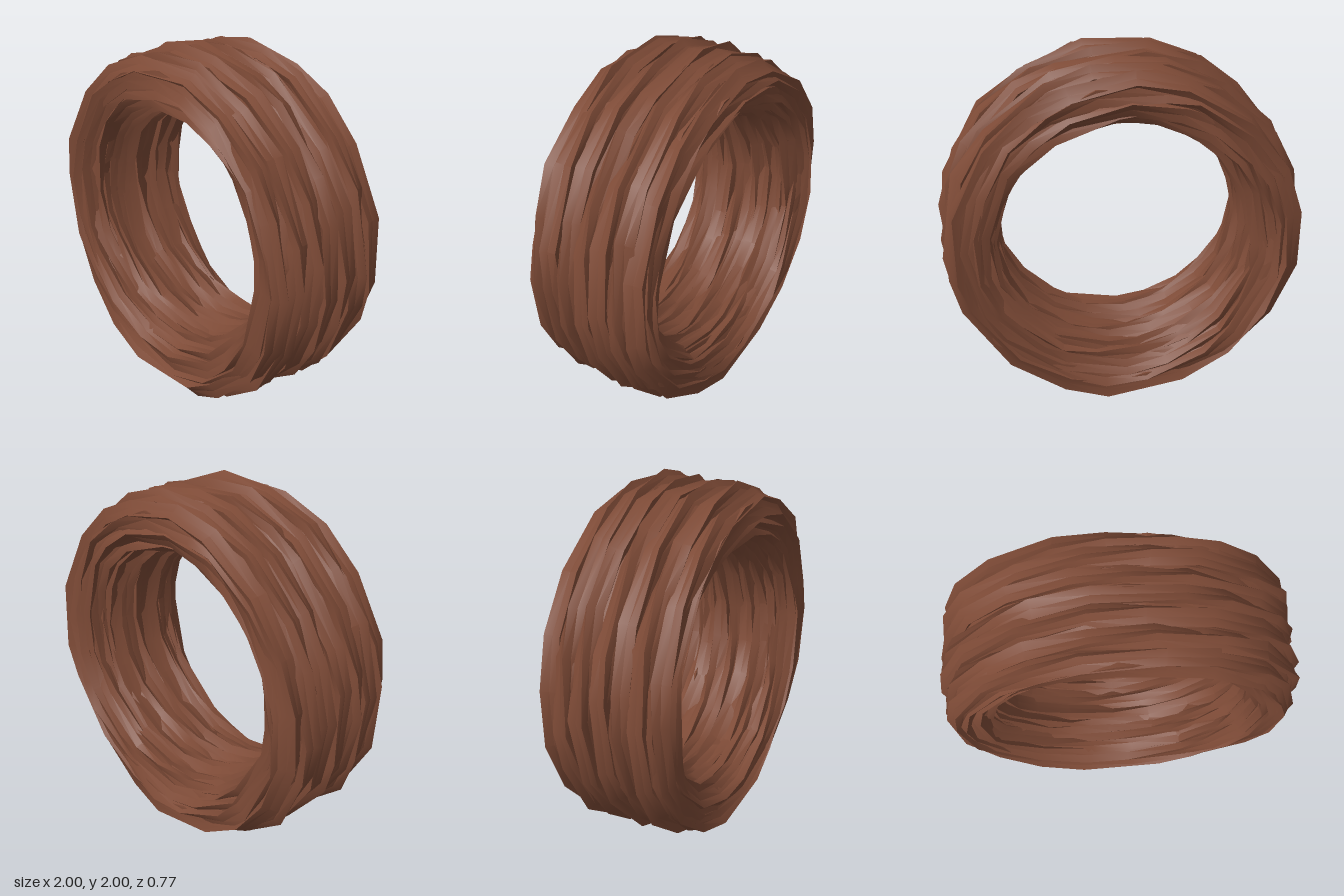
import * as THREE from 'three';
import { toCreasedNormals } from 'three/addons/utils/BufferGeometryUtils.js';

const SEGMENTS = 18;
const THICKNESS = 0.066;
// Cross-section of the rope: four ridges with shallow grooves between them
const PROFILE = [1, 0.6, 1, 0.6, 1, 0.6, 1, 0.6];
const SIDES = PROFILE.length;

// Small seeded random generator, -1 to 1
function seeded(seed) {
  let s = seed;
  return () => {
    s = (s * 16807) % 2147483647;
    return (s / 2147483647) * 2 - 1;
  };
}

// One closed, twisted, angular loop of rope around the z axis;
// oval widens it sideways and flattens it vertically
function ropeLoop(radius, z, oval, rnd) {
  const positions = [];
  const index = [];
  const start = rnd() * Math.PI;
  const roll = rnd() * Math.PI;
  const drift = rnd() * Math.PI;
  const quarterTurns = Math.round(rnd()) + 4;
  const rings = [];
  for (let i = 0; i < SEGMENTS; i++) {
    rings.push({
      a: start + ((i + rnd() * 0.25) / SEGMENTS) * Math.PI * 2,
      r: radius + rnd() * 0.01,
      z: z + Math.sin((i / SEGMENTS) * Math.PI * 2 + drift) * 0.006 + rnd() * 0.005,
      t: THICKNESS * (1 + rnd() * 0.1),
    });
  }
  for (let i = 0; i <= SEGMENTS; i++) {
    const c = rings[i % SEGMENTS];
    const twist = roll + (i / SEGMENTS) * quarterTurns * (Math.PI / 2);
    for (let j = 0; j < SIDES; j++) {
      const b = twist + (j / SIDES) * Math.PI * 2;
      const t = c.t * PROFILE[j];
      const r = c.r + Math.cos(b) * t;
      positions.push(Math.cos(c.a) * (r + oval), Math.sin(c.a) * (r - oval) + 1, c.z + Math.sin(b) * t);
    }
  }
  for (let i = 0; i < SEGMENTS; i++) {
    for (let j = 0; j < SIDES; j++) {
      const k = (j + 1) % SIDES;
      const a = i * SIDES + j, b = i * SIDES + k;
      const c = a + SIDES, d = b + SIDES;
      index.push(a, c, b, b, c, d);
    }
  }
  const geometry = new THREE.BufferGeometry();
  geometry.setAttribute('position', new THREE.Float32BufferAttribute(positions, 3));
  geometry.setIndex(index);
  return toCreasedNormals(geometry, 0.6);
}

export function createModel() {
  const model = new THREE.Group();
  model.name = 'ropeCoil';
  const rope = new THREE.MeshStandardMaterial({ color: 0x7d4a36, side: THREE.DoubleSide });
  rope.name = 'brown rope';
  const rnd = seeded(4711);

  // Layers of windings from outside to inside: [radius, distance from the middle]
  const layers = [
    { name: 'outerWinding', oval: 0, places: [[0.935, 0], [0.935, 0.105], [0.935, 0.21], [0.908, 0.305]] },
    { name: 'secondWinding', oval: 0, places: [[0.885, 0.05], [0.885, 0.155], [0.88, 0.255], [0.86, 0.312]] },
    { name: 'middleWinding', oval: 0.005, places: [[0.83, 0], [0.83, 0.1], [0.83, 0.2], [0.805, 0.3]] },
    { name: 'innerWinding', oval: 0.012, places: [[0.77, 0.05], [0.77, 0.15], [0.77, 0.23], [0.757, 0.262]] },
    { name: 'innermostWinding', oval: 0.018, places: [[0.712, 0], [0.712, 0.09], [0.723, 0.155], [0.738, 0.205]] },
  ];
  for (const { name, oval, places } of layers) {
    for (const [radius, offset] of places) {
      for (const z of offset ? [offset, -offset] : [0]) {
        const mesh = new THREE.Mesh(ropeLoop(radius, z, oval, rnd), rope);
        mesh.name = name;
        model.add(mesh);
      }
    }
  }
  return model;
}
